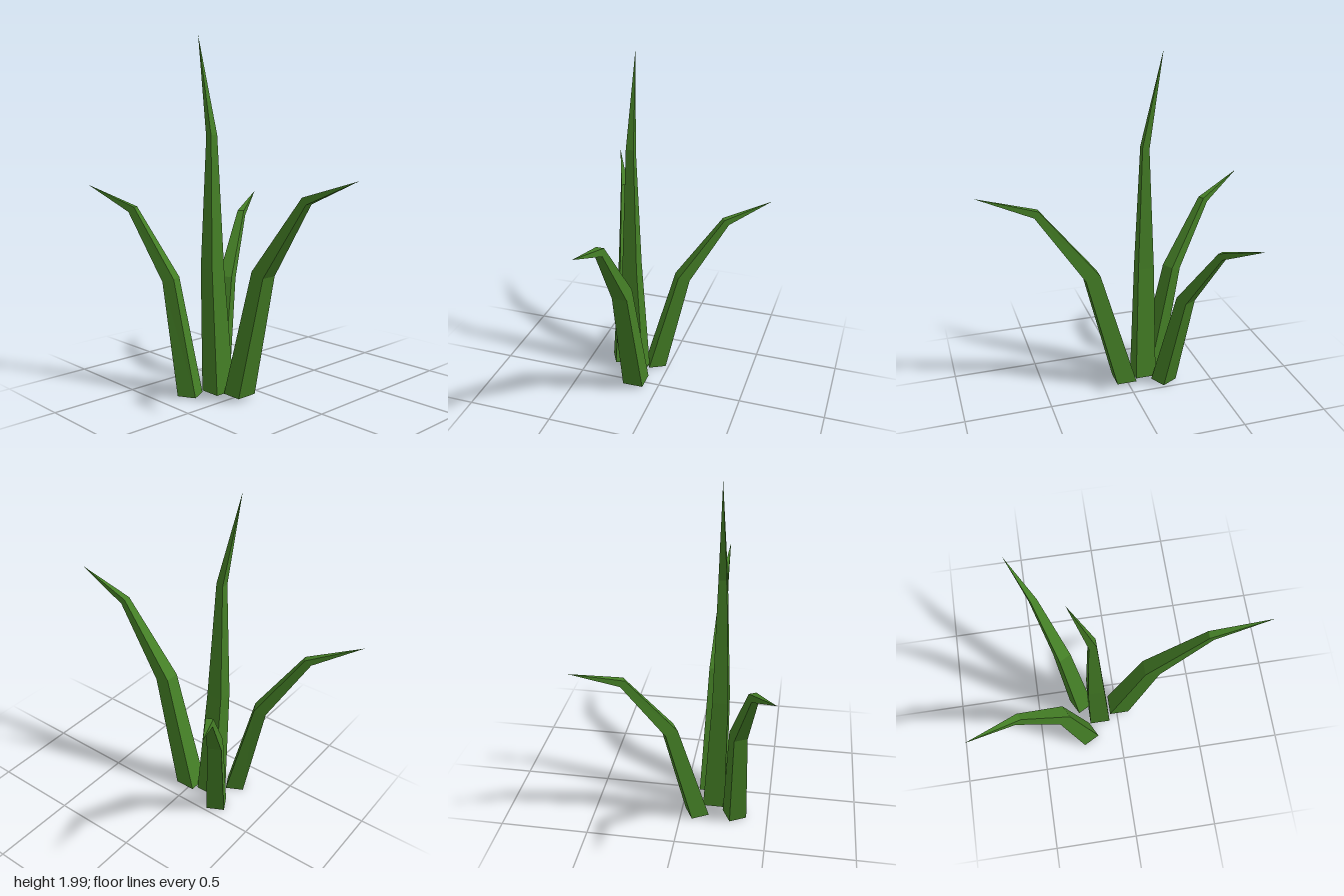
import * as THREE from 'three';

// Each blade: outward direction [x, z], then square sections from base to tip:
// [centre x, y, z, width, depth along direction, drop of the outer edge]
const BLADES = [
  { name: 'frontBlade', dir: [0, 1], sections: [
    [-0.142, 0.03, 0.015, 0.122, 0.12, 0],
    [-0.147, 0.742, 0.207, 0.087, 0.085, 0.025],
    [-0.146, 1.158, 0.512, 0.042, 0.026, 0.035],
    [-0.146, 1.28, 0.84, 0, 0, 0]] },
  { name: 'centreBlade', dir: [0, -1], sections: [
    [-0.182, 0.025, -0.118, 0.126, 0.125, 0],
    [-0.207, 0.735, -0.13, 0.087, 0.095, 0],
    [-0.204, 1.46, -0.131, 0.044, 0.04, 0.01],
    [-0.205, 2, -0.235, 0, 0, 0]] },
  { name: 'leftBlade', dir: [0.88, -0.47], sections: [
    [-0.09, 0.01, -0.222, 0.107, 0.105, 0],
    [0.055, 0.615, -0.298, 0.08, 0.07, 0.02],
    [0.282, 0.965, -0.415, 0.04, 0.028, 0.03],
    [0.525, 1.07, -0.55, 0, 0, 0]] },
  { name: 'rightBlade', dir: [-0.46, -0.88], sections: [
    [-0.308, 0.01, -0.213, 0.105, 0.108, 0],
    [-0.327, 0.652, -0.348, 0.078, 0.07, 0.018],
    [-0.413, 1.037, -0.578, 0.04, 0.036, 0.028],
    [-0.532, 1.165, -0.842, 0, 0, 0]] },
];

// Four corners of one section, clockwise seen from above
function ring([x, y, z, width, depth, drop], [ux, uz]) {
  return [[-1, -1], [1, -1], [1, 1], [-1, 1]].map(([a, b]) => [
    x + (ux * a * depth - uz * b * width) / 2,
    y - (a * drop) / 2,
    z + (uz * a * depth + ux * b * width) / 2,
  ]);
}

function bladeGeometry({ dir, sections }) {
  const rings = sections.map((s) => ring(s, dir));
  const points = [];
  const tri = (a, b, c) => points.push(...a, ...b, ...c);
  // Closed foot
  const [p, q, r, s] = rings[0];
  tri(p, q, r);
  tri(p, r, s);
  // Sides, narrowing to a point at the last section
  for (let i = 0; i < rings.length - 1; i++) {
    for (let k = 0; k < 4; k++) {
      const n = (k + 1) % 4;
      const low = rings[i], high = rings[i + 1];
      tri(low[k], high[n], low[n]);
      if (i < rings.length - 2) tri(low[k], high[k], high[n]);
    }
  }
  const geometry = new THREE.BufferGeometry();
  geometry.setAttribute('position', new THREE.Float32BufferAttribute(points, 3));
  geometry.computeVertexNormals();
  return geometry;
}

export function createModel() {
  const group = new THREE.Group();
  group.name = 'grassTuft';
  const leafGreen = new THREE.MeshStandardMaterial({ color: 0x458026, flatShading: true });
  leafGreen.name = 'leafGreen';
  for (const blade of BLADES) {
    const mesh = new THREE.Mesh(bladeGeometry(blade), leafGreen);
    mesh.name = blade.name;
    group.add(mesh);
  }
  return group;
}
